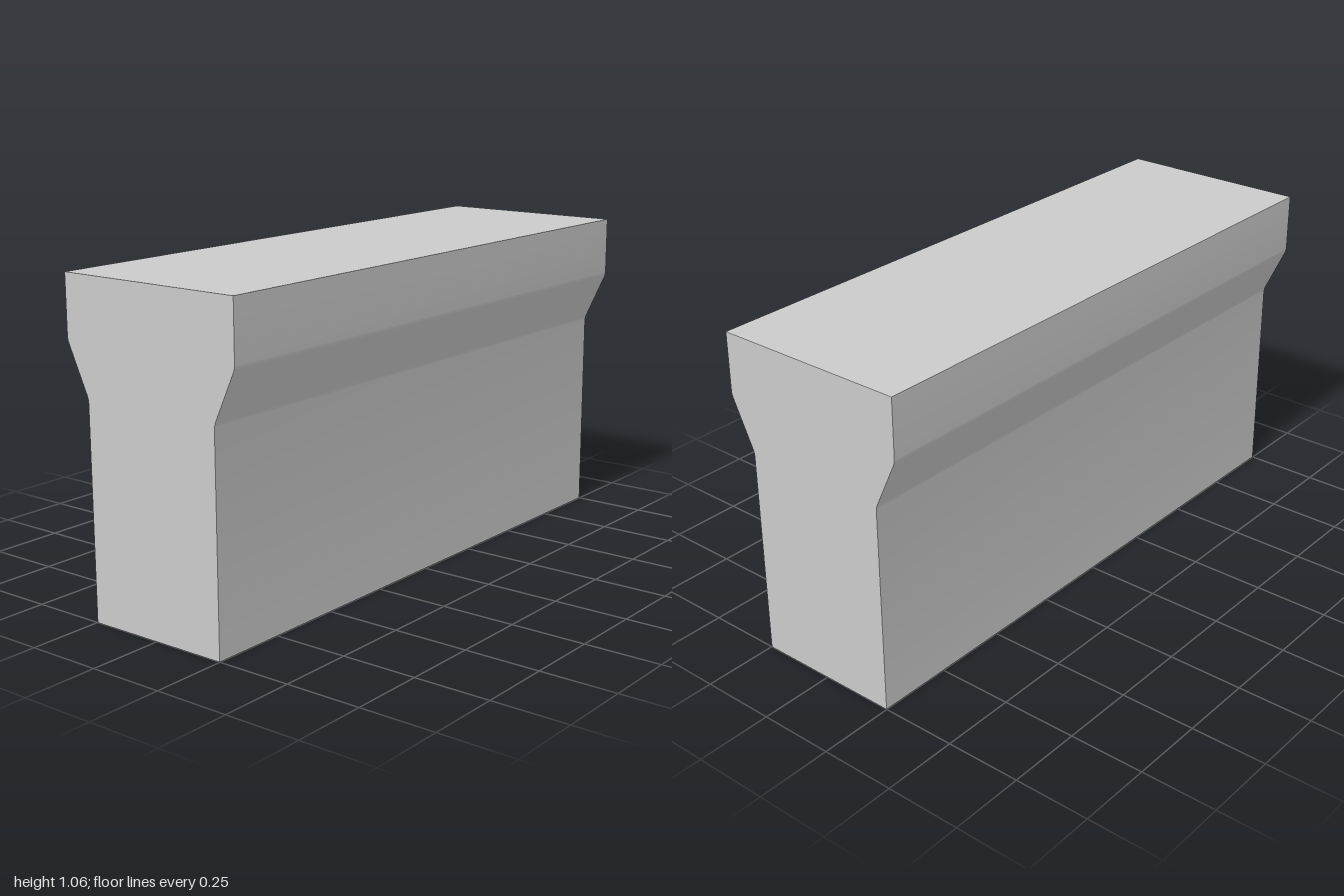
import * as THREE from 'three';
import { toCreasedNormals } from 'three/addons/utils/BufferGeometryUtils.js';

export function createModel() {
  const group = new THREE.Group();
  group.name = 'beam';
  const length = 2, ease = 0.012;

  // Right half of the cross-section, bottom to top; the two middle bends are softly eased
  const half = [[0.249, 0], [0.249, 0.693], [0.328, 0.862], [0.328, 1.062]]
    .map(([x, y]) => new THREE.Vector2(x, y));
  const mirrored = half.map((p) => new THREE.Vector2(-p.x, p.y)).reverse();

  const shape = new THREE.Shape();
  const toward = (from, to) => to.clone().sub(from).setLength(ease).add(from);
  const addSide = ([start, bendA, bendB, end], first) => {
    if (first) shape.moveTo(start.x, start.y);
    else shape.lineTo(start.x, start.y);
    for (const [prev, bend, next] of [[start, bendA, bendB], [bendA, bendB, end]]) {
      const a = toward(bend, prev), b = toward(bend, next);
      shape.lineTo(a.x, a.y);
      shape.quadraticCurveTo(bend.x, bend.y, b.x, b.y);
    }
    shape.lineTo(end.x, end.y);
  };
  addSide(half, true);
  addSide(mirrored, false);
  shape.closePath();

  // Straight beam with a flared head, running front to back
  const geometry = new THREE.ExtrudeGeometry(shape, { depth: length, bevelEnabled: false, curveSegments: 6 });
  geometry.translate(0, 0, -length / 2);
  const beam = new THREE.Mesh(
    toCreasedNormals(geometry, 0.5),
    new THREE.MeshStandardMaterial({ color: 0xcccccc })
  );
  beam.name = 'flaredBeam';
  group.add(beam);
  return group;
}
